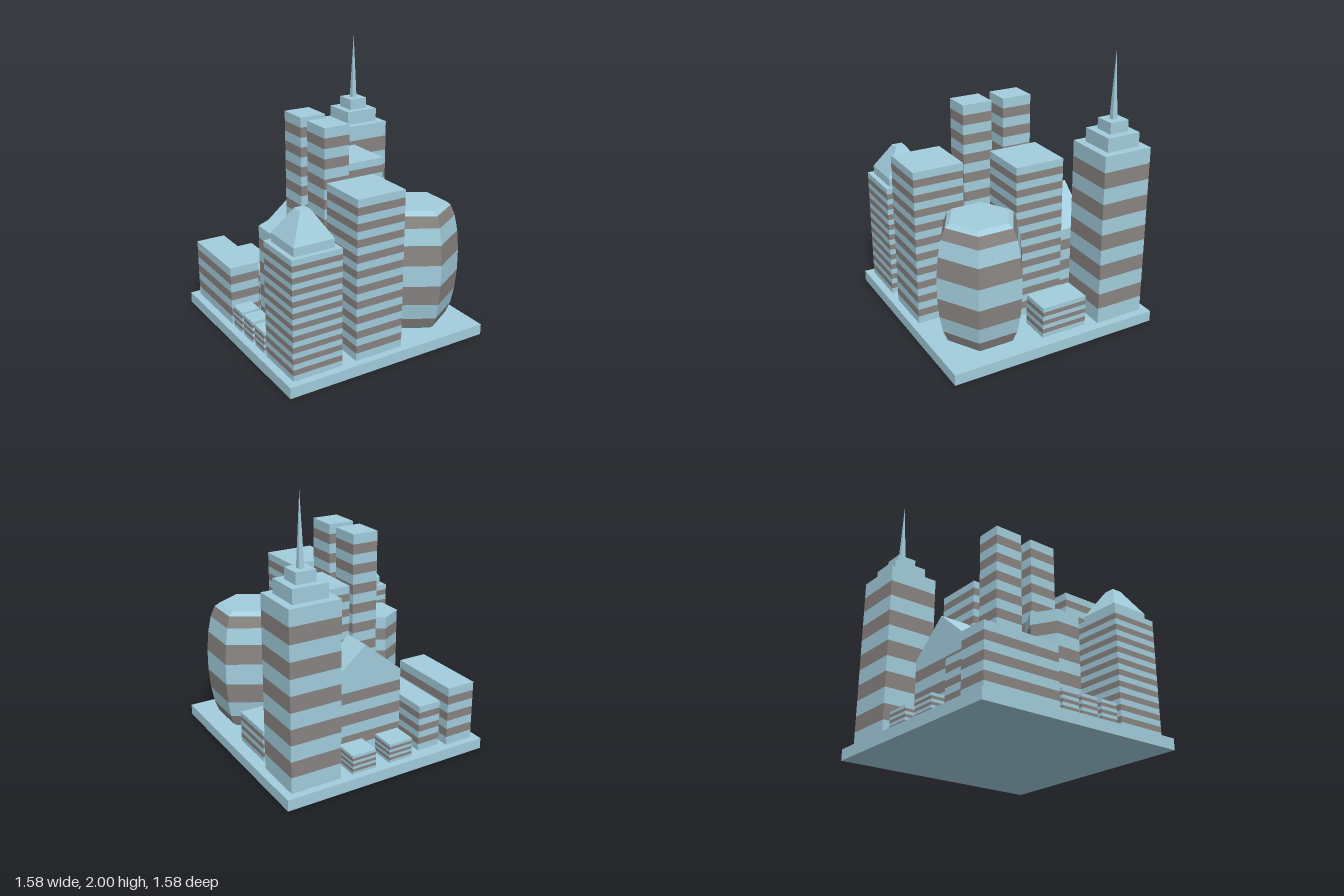
import * as THREE from 'three';

const GROUND = 0.08;

export function createModel() {
  const city = new THREE.Group();
  city.name = 'cityBlock';
  const wall = new THREE.MeshStandardMaterial({ name: 'paleBlue', color: 0xa2cddc });
  const glass = new THREE.MeshStandardMaterial({ name: 'windowGrey', color: 0x888482 });

  const rect = (hx, hz) => [[-hx, hz], [hx, hz], [hx, -hz], [-hx, -hz]];
  const hexagon = (r) => Array.from({ length: 6 }, (_, i) =>
    [r * Math.sin(i * Math.PI / 3), r * Math.cos(i * Math.PI / 3)]);

  // Stack a footprint through levels [y, scale]; every second band is window grey if striped
  function stack(name, x, z, foot, levels, striped = false) {
    const pos = [];
    const geo = new THREE.BufferGeometry();
    const n = foot.length;
    const at = ([y, s], i) => [foot[i % n][0] * s, y, foot[i % n][1] * s];
    for (let k = 0; k < levels.length - 1; k++) {
      geo.addGroup(pos.length / 3, n * 6, striped ? k % 2 : 0);
      for (let i = 0; i < n; i++) {
        const a = at(levels[k], i), b = at(levels[k], i + 1);
        const c = at(levels[k + 1], i + 1), d = at(levels[k + 1], i);
        pos.push(...a, ...b, ...c, ...a, ...c, ...d);
      }
    }
    const top = levels[levels.length - 1];
    geo.addGroup(pos.length / 3, n * 3, 0);
    for (let i = 0; i < n; i++) pos.push(0, top[0], 0, ...at(top, i), ...at(top, i + 1));
    geo.setAttribute('position', new THREE.Float32BufferAttribute(pos, 3));
    geo.computeVertexNormals();
    const mesh = new THREE.Mesh(geo, [wall, glass]);
    mesh.name = name;
    mesh.position.set(x, 0, z);
    city.add(mesh);
  }

  const floors = (height, windows) => Array.from({ length: 2 * windows + 2 }, (_, i) =>
    [GROUND + (height - GROUND) * i / (2 * windows + 1), 1]);

  // Base slab
  const slab = new THREE.Mesh(new THREE.BoxGeometry(1.58, GROUND, 1.58), wall);
  slab.name = 'baseSlab';
  slab.position.y = GROUND / 2;
  city.add(slab);

  // Striped box buildings: name, x range, z range, height, window rows
  const blocks = [
    ['spireTower', 0.36, 0.732, -0.735, -0.365, 1.34, 5],
    ['pyramidTower', -0.735, -0.365, 0.365, 0.735, 0.93, 10],
    ['frontTower', -0.255, 0.115, 0.365, 0.735, 1.23, 10],
    ['middleTower', 0.01, 0.38, -0.27, 0.1, 1.23, 10],
    ['frontTwinTower', -0.225, -0.03, 0.062, 0.285, 1.58, 10],
    ['backTwinTower', -0.225, -0.03, -0.25, -0.027, 1.58, 10],
    ['gabledHall', -0.255, 0.327, -0.52, -0.302, 0.65, 3],
    ['longCornerBlock', -0.735, -0.515, -0.738, -0.16, 0.52, 3],
    ['longInnerBlock', -0.473, -0.297, -0.7, -0.23, 0.42, 3],
    ['lowSideBlock', 0.482, 0.7, -0.277, 0.07, 0.31, 3],
    ['smallBackBlock', -0.212, -0.027, -0.738, -0.56, 0.22, 3],
    ['smallBackBlock', 0.085, 0.27, -0.738, -0.56, 0.22, 3],
    ['smallSideBlock', -0.733, -0.595, -0.135, -0.002, 0.24, 3],
    ['smallSideBlock', -0.733, -0.595, 0.025, 0.158, 0.24, 3],
    ['smallSideBlock', -0.733, -0.595, 0.195, 0.328, 0.24, 3],
  ];
  for (const [name, x0, x1, z0, z1, h, rows] of blocks) {
    stack(name, (x0 + x1) / 2, (z0 + z1) / 2, rect((x1 - x0) / 2, (z1 - z0) / 2), floors(h, rows), true);
  }

  // Steps and needle of the spire tower
  stack('spireLowerStep', 0.547, -0.55, rect(0.128, 0.128), [[1.34, 1], [1.44, 1]]);
  stack('spireUpperStep', 0.547, -0.55, rect(0.073, 0.073), [[1.44, 1], [1.52, 1]]);
  stack('spireNeedle', 0.547, -0.55, rect(0.019, 0.019), [[1.52, 1], [2, 0.01]]);

  // Cut-off pyramid roof
  stack('pyramidRoof', -0.55, 0.55, rect(0.149, 0.149), [[0.93, 1], [0.99, 1], [1.175, 0.25]]);

  // Gable roof, ridge running front to back
  const gable = new THREE.Shape([
    new THREE.Vector2(-0.291, 0), new THREE.Vector2(0.291, 0), new THREE.Vector2(0, 0.24)]);
  const roof = new THREE.Mesh(new THREE.ExtrudeGeometry(gable, { depth: 0.218, bevelEnabled: false }), wall);
  roof.name = 'gableRoof';
  roof.position.set(0.036, 0.65, -0.52);
  city.add(roof);

  // Six-sided tower
  stack('hexagonTower', -0.41, 0.08, hexagon(0.19), floors(0.865, 4), true);

  // Bulging six-sided tower with nine curved bands
  const bulge = Array.from({ length: 10 }, (_, i) => {
    const a = (-90 + 20 * i) * Math.PI / 180;
    return [0.53 + 0.45 * Math.sin(a), 0.219 + 0.107 * Math.cos(a)];
  });
  stack('bulgingTower', 0.44, 0.413, hexagon(1), bulge, true);

  return city;
}
